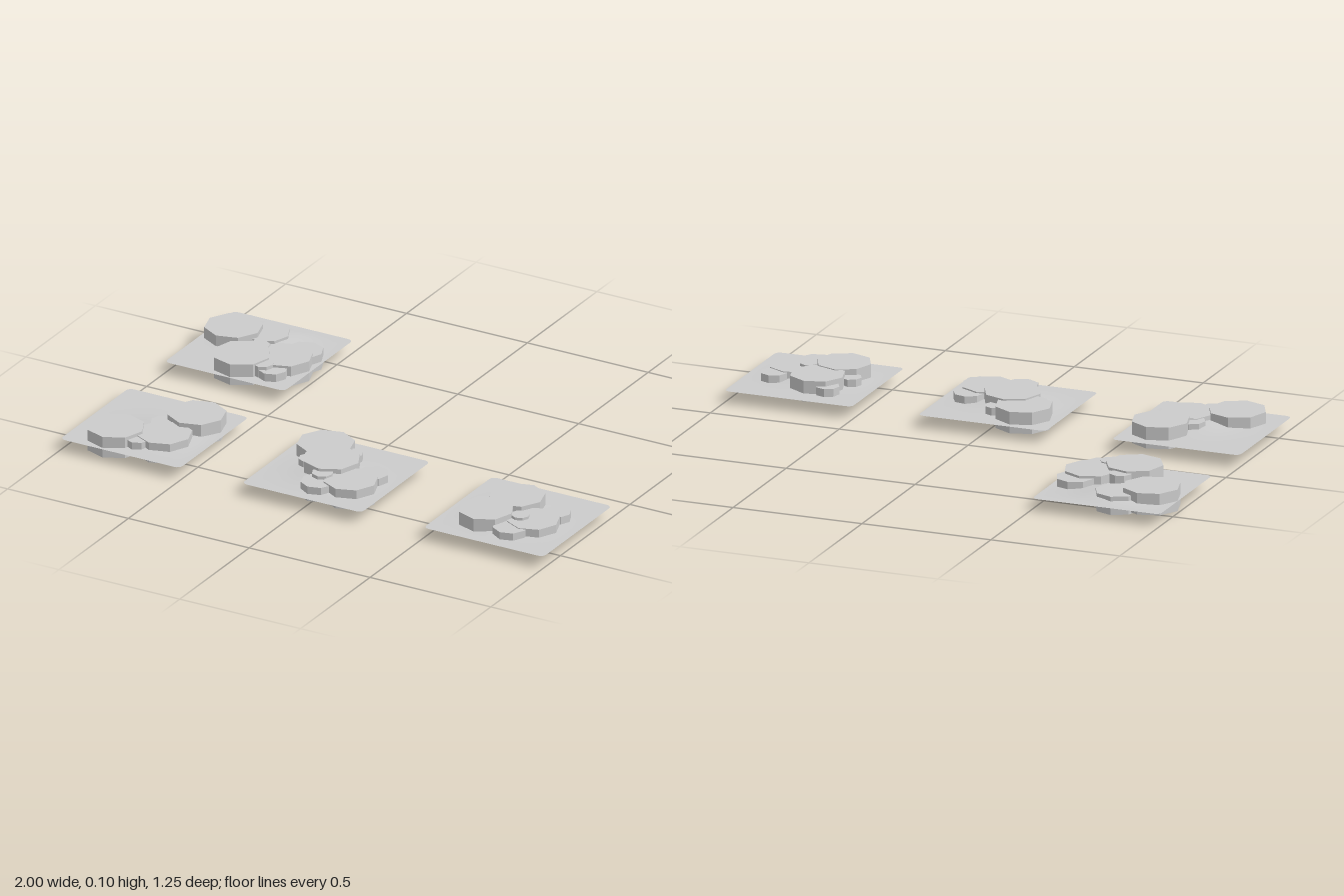
import * as THREE from 'three';

const PLATE_Y = 0.045;
const SIZE = 0.496;
const STEP = 0.752;
const stoneMaterial = new THREE.MeshStandardMaterial({ color: 0xcccccc, flatShading: true });
const groundMaterial = new THREE.MeshStandardMaterial({ color: 0xcccccc, side: THREE.DoubleSide });

// Thin sheet of ground with softly rounded corners and a gentle mound
function makeGround(moundX, moundZ) {
  const geometry = new THREE.PlaneGeometry(SIZE, SIZE, 40, 40).rotateX(-Math.PI / 2);
  const pos = geometry.attributes.position;
  const half = SIZE / 2, inner = half - 0.022;
  for (let i = 0; i < pos.count; i++) {
    let x = pos.getX(i), z = pos.getZ(i);
    const dx = Math.abs(x) - inner, dz = Math.abs(z) - inner;
    if (dx > 0 && dz > 0) {
      const k = Math.max(dx, dz) / Math.hypot(dx, dz);
      x = Math.sign(x) * (inner + dx * k);
      z = Math.sign(z) * (inner + dz * k);
    }
    // the mound fades out so that the rim stays level
    const fade = THREE.MathUtils.smoothstep(half - Math.max(Math.abs(x), Math.abs(z)), 0, 0.07);
    const d = Math.hypot(x - moundX, z - moundZ) / 0.12;
    pos.setXYZ(i, x, 0.018 * Math.exp(-d * d) * fade, z);
  }
  geometry.computeVertexNormals();
  const ground = new THREE.Mesh(geometry, groundMaterial);
  ground.name = 'ground';
  ground.position.y = PLATE_Y;
  return ground;
}

// Flat eight-sided stone sunk through the ground; wider stones are thicker
function makeStone([x, z, radius, top = 0.075], index) {
  const thickness = 0.02 + 0.57 * radius;
  const stone = new THREE.Mesh(
    new THREE.CylinderGeometry(radius, radius, thickness, 8), stoneMaterial);
  stone.name = radius > 0.09 ? 'largeStone' : 'smallStone';
  stone.position.set(x, top - thickness / 2, z);
  stone.rotation.y = ((index * 3) % 5 - 2) * 0.06;
  return stone;
}

// One tile; stones are [x, z, radius, top] measured from the tile's centre
function makeTile(name, x, z, mound, stones) {
  const tile = new THREE.Group();
  tile.name = name;
  tile.position.set(x, 0, z);
  tile.add(makeGround(...mound), ...stones.map(makeStone));
  return tile;
}

export function createModel() {
  const model = new THREE.Group();
  model.name = 'steppingStoneTiles';
  model.add(
    makeTile('backRightTile', -STEP, -STEP / 2, [0, -0.1], [
      [-0.141, -0.064, 0.107, 0.088], [-0.03, -0.11, 0.085, 0.07],
      [0.139, 0.051, 0.102, 0.084], [0.007, 0.136, 0.107, 0.095],
      [0.167, -0.034, 0.072], [0.017, 0.031, 0.042, 0.088],
      [0.107, 0.156, 0.04, 0.088], [0.147, 0.156, 0.055],
    ]),
    makeTile('frontRightTile', -STEP, STEP / 2, [0.03, 0.04], [
      [0.119, -0.1, 0.107, 0.094], [-0.085, 0.13, 0.107, 0.088],
      [0.085, 0.075, 0.102, 0.078], [0.032, -0.015, 0.05], [0.022, 0.155, 0.045],
    ]),
    makeTile('frontMiddleTile', 0, STEP / 2, [0, 0.03], [
      [-0.11, -0.118, 0.106, 0.092], [-0.02, -0.005, 0.106, 0.098],
      [0.11, 0.085, 0.1, 0.08], [0.147, -0.01, 0.058], [0, -0.117, 0.04],
      [0.01, 0.145, 0.065], [0.002, 0.1, 0.04, 0.088], [-0.115, -0.005, 0.038],
    ]),
    makeTile('frontLeftTile', STEP, STEP / 2, [-0.01, 0.03], [
      [-0.042, -0.07, 0.102, 0.094], [-0.08, 0.088, 0.102, 0.097],
      [0.091, 0.045, 0.097, 0.078], [-0.107, -0.135, 0.045], [0.133, -0.055, 0.05],
      [0.048, 0.135, 0.065], [-0.145, -0.005, 0.04], [0.043, 0.055, 0.034, 0.088],
    ]),
  );
  return model;
}
